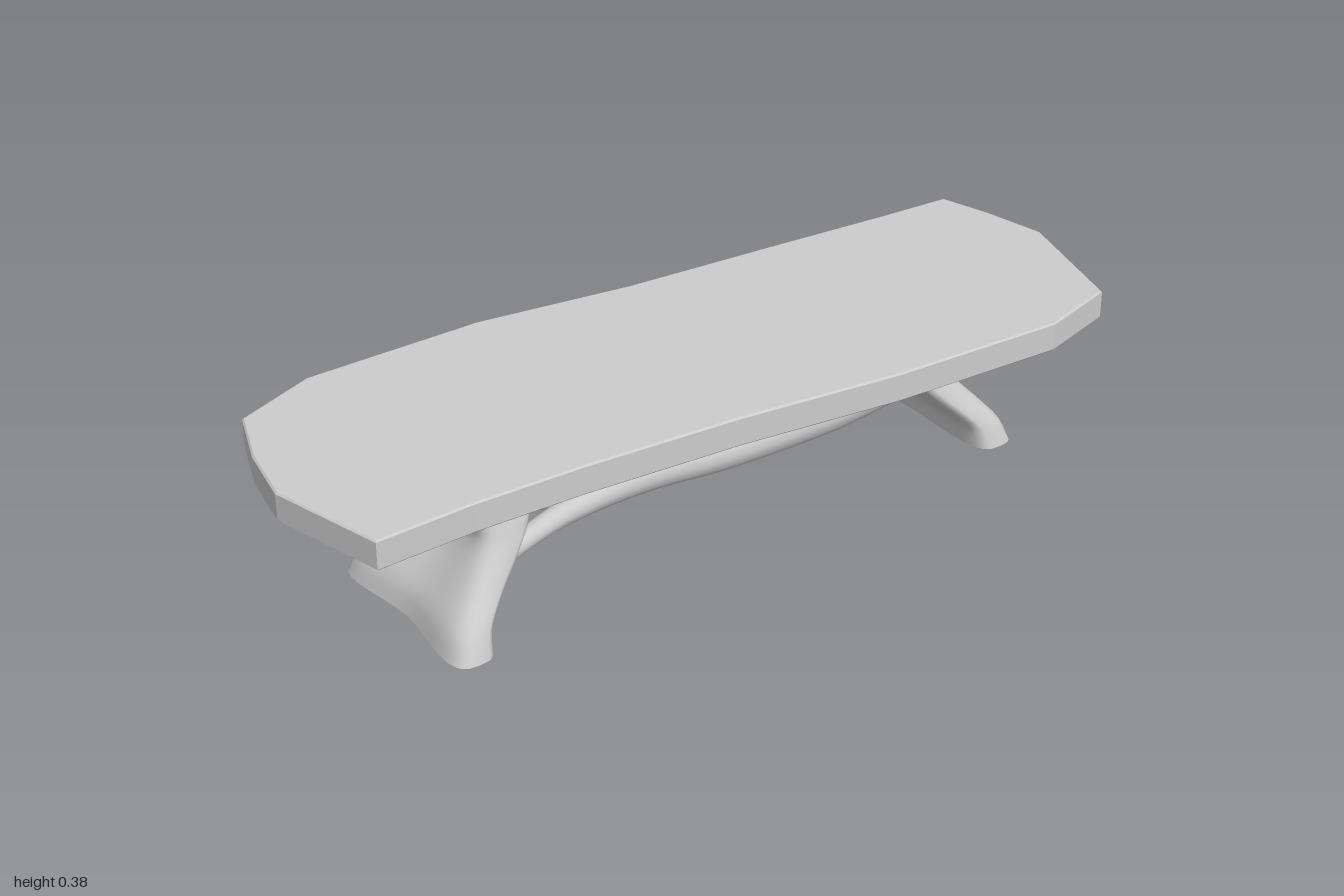
import * as THREE from 'three';
import { mergeVertices } from 'three/addons/utils/BufferGeometryUtils.js';

const material = new THREE.MeshStandardMaterial({ color: 0xcccccc, roughness: 0.8 });

function addMesh(parent, name, geometry) {
  const mesh = new THREE.Mesh(geometry, material);
  mesh.name = name;
  parent.add(mesh);
  return mesh;
}

// Slab with a natural, irregular outline (x, z)
function tabletopGeometry() {
  const outline = [
    [-1, -0.02], [-0.97, -0.17], [-0.915, -0.315], [-0.725, -0.385], [-0.3, -0.38],
    [0.07, -0.32], [0.45, -0.285], [0.75, -0.255], [0.935, -0.24], [0.97, -0.12],
    [1, 0.03], [0.91, 0.33], [0.72, 0.38], [0.3, 0.35], [-0.08, 0.295],
    [-0.45, 0.26], [-0.7, 0.247], [-0.93, 0.25],
  ];
  const shape = new THREE.Shape(outline.map(([x, z]) => new THREE.Vector2(x, -z)));
  const bevel = 0.004;
  const geometry = new THREE.ExtrudeGeometry(shape, {
    depth: 0.07 - 2 * bevel, bevelThickness: bevel, bevelSize: bevel,
    bevelOffset: -bevel, bevelSegments: 1,
  });
  return geometry.rotateX(-Math.PI / 2).translate(0, 0.312 + bevel, 0);
}

// Leg lofted from dumbbell sections: two rounded prongs joined by a thinner web.
// Each level: y, inner x, outer x, front z, back z, web thickness ratio
const legLevels = [
  [0, 0.65, 0.765, 0.24, -0.24, 0.5],
  [0.05, 0.64, 0.745, 0.225, -0.22, 0.5],
  [0.1, 0.595, 0.705, 0.2, -0.19, 0.5],
  [0.15, 0.545, 0.66, 0.175, -0.165, 0.55],
  [0.2, 0.502, 0.627, 0.155, -0.145, 0.6],
  [0.235, 0.488, 0.63, 0.147, -0.133, 0.65],
  [0.265, 0.505, 0.66, 0.14, -0.122, 0.65],
  [0.29, 0.54, 0.695, 0.138, -0.113, 0.65],
  [0.32, 0.575, 0.725, 0.142, -0.107, 0.65],
];

function legGeometry() {
  const sides = 40, steps = 24;
  const curveOf = (a, b, c) => new THREE.CatmullRomCurve3(
    legLevels.map((l) => new THREE.Vector3(l[a], l[b], l[c])));
  const xs = curveOf(1, 0, 2), zs = curveOf(3, 4, 5);
  const positions = [], index = [];
  for (let i = 0; i <= steps; i++) {
    const a = xs.getPoint(i / steps), b = zs.getPoint(i / steps);
    const xc = (a.x + a.z) / 2, hx = (a.z - a.x) / 2;
    const zc = (b.x + b.y) / 2, hz = (b.x - b.y) / 2;
    for (let j = 0; j < sides; j++) {
      const t = (j / sides) * Math.PI * 2, c = Math.cos(t), s = Math.sin(t);
      const width = Math.sign(s) * Math.pow(Math.abs(s), 0.6)
        * (b.z + (1 - b.z) * Math.pow(Math.abs(c), 1.5)) / 0.72;
      const sway = 0.1 * Math.cos(c * Math.PI); // web bows gently against the prongs
      positions.push(xc + hx * (width - sway), a.y, zc + hz * c);
    }
  }
  for (let i = 0; i < steps; i++) {
    for (let j = 0; j < sides; j++) {
      const p = i * sides + j, q = i * sides + (j + 1) % sides;
      index.push(p, q, q + sides, p, q + sides, p + sides);
    }
  }
  // Flat sole with its own vertices, joined across the section
  const base = positions.length / 3;
  positions.push(...positions.slice(0, sides * 3));
  for (let j = 0; j < sides / 2; j++) {
    const p = base + j, q = base + j + 1;
    const r = base + (sides - j) % sides, u = base + sides - j - 1;
    index.push(p, u, q, p, r, u);
  }
  const geometry = new THREE.BufferGeometry();
  geometry.setAttribute('position', new THREE.Float32BufferAttribute(positions, 3));
  geometry.setIndex(index);
  geometry.computeVertexNormals();
  return geometry;
}

// Branch with a radius that varies along its path; each point: x, y, z, radius
function branchGeometry(points) {
  const path = new THREE.CatmullRomCurve3(points.map((p) => new THREE.Vector3(p[0], p[1], p[2])));
  const segments = 36, sides = 14;
  let geometry = new THREE.TubeGeometry(path, segments, 1, sides, false);
  const pos = geometry.attributes.position, v = new THREE.Vector3();
  for (let i = 0; i < pos.count; i++) {
    const t = Math.floor(i / (sides + 1)) / segments;
    const centre = path.getPointAt(t);
    const k = path.getUtoTmapping(t) * (points.length - 1);
    const n = Math.min(Math.floor(k), points.length - 2);
    const radius = THREE.MathUtils.lerp(points[n][3], points[n + 1][3], k - n);
    v.fromBufferAttribute(pos, i).sub(centre).multiplyScalar(radius).add(centre);
    pos.setXYZ(i, v.x, v.y, v.z);
  }
  geometry.deleteAttribute('uv');
  geometry.deleteAttribute('normal');
  geometry = mergeVertices(geometry);
  geometry.computeVertexNormals();
  return geometry;
}

export function createModel() {
  const model = new THREE.Group();
  model.name = 'coffeeTable';

  addMesh(model, 'tabletop', tabletopGeometry());

  // Legs: the second is the first turned half way round
  const leg = legGeometry();
  addMesh(model, 'leftLeg', leg);
  const rightLeg = addMesh(model, 'rightLeg', leg);
  rightLeg.rotation.y = Math.PI;
  rightLeg.position.z = 0.015;

  // Stretcher: a trunk that forks toward the right leg
  const stretcher = new THREE.Group();
  stretcher.name = 'stretcher';
  model.add(stretcher);
  addMesh(stretcher, 'stretcherTrunk', branchGeometry([
    [0.65, 0.11, -0.01, 0.05], [0.4, 0.098, 0, 0.053], [0.1, 0.105, 0.01, 0.047],
    [-0.18, 0.14, 0.035, 0.04], [-0.4, 0.141, 0.07, 0.026], [-0.54, 0.115, 0.09, 0.022],
    [-0.64, 0.085, 0.1, 0.02],
  ]));
  addMesh(stretcher, 'stretcherFork', branchGeometry([
    [0.12, 0.105, 0, 0.03], [-0.1, 0.112, -0.015, 0.028], [-0.3, 0.094, -0.05, 0.02],
    [-0.45, 0.115, -0.075, 0.018], [-0.6, 0.14, -0.095, 0.017],
  ]));
  return model;
}
